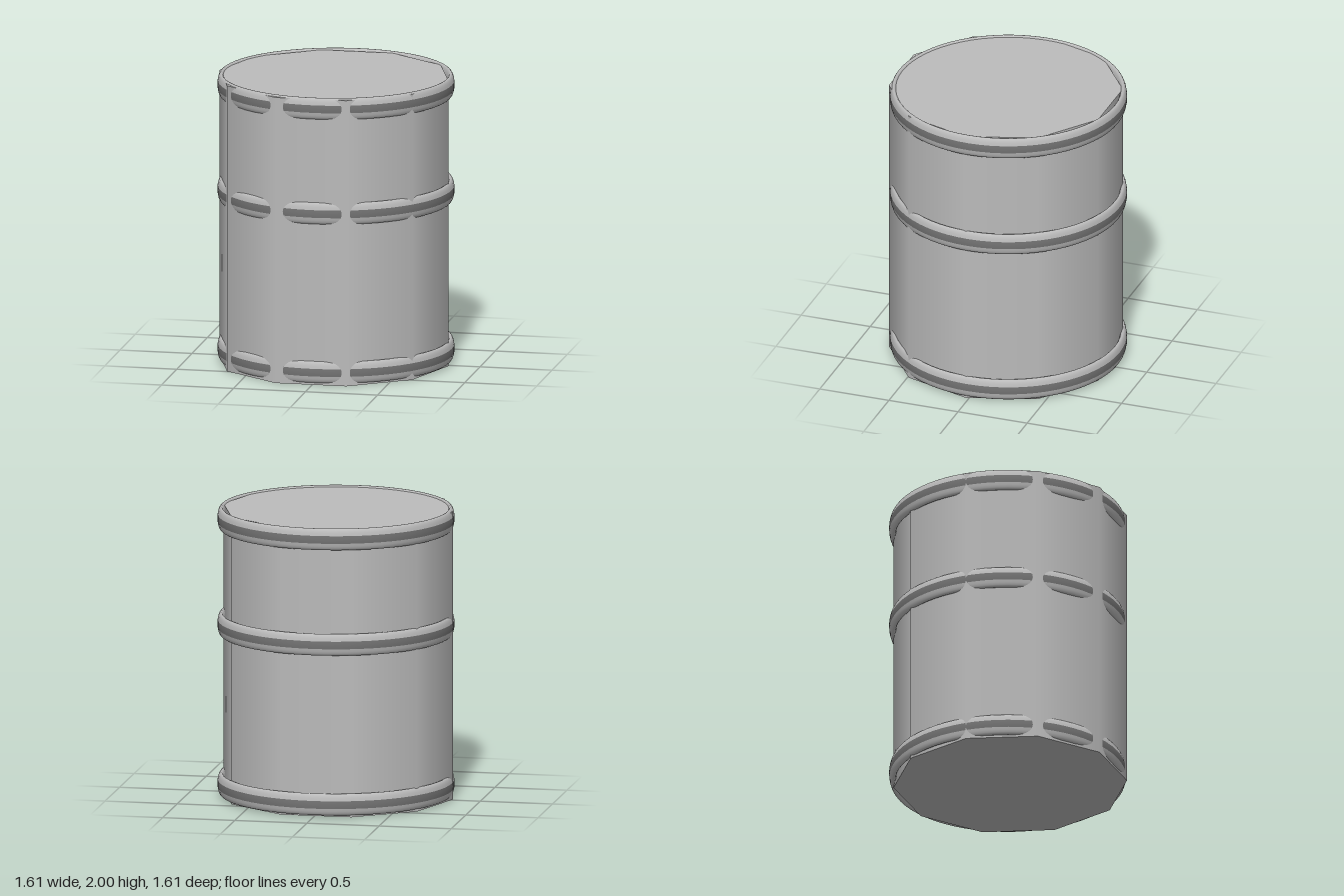
import * as THREE from 'three';

const steel = new THREE.MeshStandardMaterial({ color: 0xbcbcbc });
steel.name = 'light steel';
const darkSteel = new THREE.MeshStandardMaterial({ color: 0x737373 });
darkSteel.name = 'dark steel';

const RING_RADIUS = 0.78, RING_HALF_WIDTH = 0.026, RING_HALF_HEIGHT = 0.075;

// Part of the hoop's oval section, from one angle to another, swept round y
function hoopStrip(from, to, steps) {
  const points = [];
  for (let i = 0; i <= steps; i++) {
    const a = from + (to - from) * i / steps;
    points.push(new THREE.Vector2(
      RING_RADIUS + RING_HALF_WIDTH * Math.cos(a),
      RING_HALF_HEIGHT * Math.sin(a)));
  }
  return new THREE.LatheGeometry(points, 64);
}

function addMesh(parent, name, geometry, material) {
  const mesh = new THREE.Mesh(geometry, material);
  mesh.name = name;
  parent.add(mesh);
  return mesh;
}

export function createModel() {
  const model = new THREE.Group();
  model.name = 'barrel';

  // Ten-sided smooth drum with flat lid and base, set slightly off the hoops' axis
  const height = 1.988;
  const drum = addMesh(model, 'drum',
    new THREE.CylinderGeometry(0.795, 0.795, height, 10, 1, false, Math.PI / 2), steel);
  drum.position.set(-0.01, height / 2, 0.0225);

  // Three hoops, each with a dark band round its outer face
  const bandAngle = 0.36;
  const rim = hoopStrip(bandAngle, 2 * Math.PI - bandAngle, 20);
  const band = hoopStrip(-bandAngle, bandAngle, 4);
  const hoops = { bottomHoop: 0.09, middleHoop: 1.195, topHoop: 1.925 };
  for (const [name, y] of Object.entries(hoops)) {
    const hoop = new THREE.Group();
    hoop.name = name;
    hoop.position.y = y;
    addMesh(hoop, 'hoopRim', rim, steel);
    addMesh(hoop, 'hoopBand', band, darkSteel);
    model.add(hoop);
  }
  return model;
}
